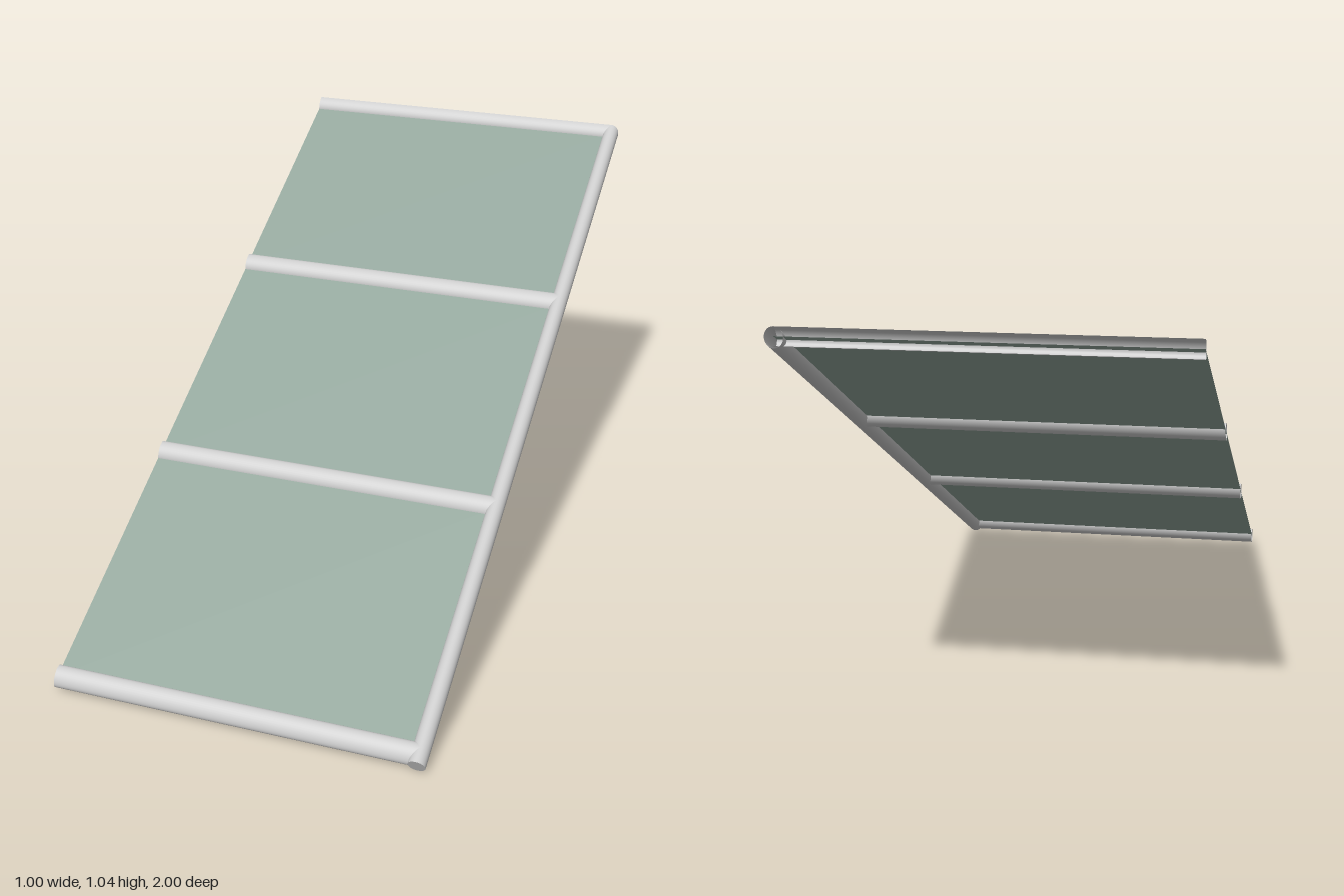
import * as THREE from 'three';

const R = 0.0227;                 // tube radius
const LEFT = -0.5, RAIL_X = 0.477;
const BACK = -1, FRONT = 0.965;   // z extent of the sloping sheet
const SLOPE = 0.5;
const heightAt = z => 0.518 - SLOPE * z;

const metal = new THREE.MeshStandardMaterial({ color: 0xcccccc, side: THREE.DoubleSide });
const glass = new THREE.MeshStandardMaterial({ color: 0x93a69c, side: THREE.DoubleSide });

function add(group, name, geometry, material) {
  const mesh = new THREE.Mesh(geometry, material);
  mesh.name = name;
  group.add(mesh);
  return mesh;
}

// Open tube along x, sheared to follow the slope; half = only its front half
function crossBar(z, half) {
  const g = new THREE.CylinderGeometry(R, R, RAIL_X - LEFT, half ? 16 : 32, 1, true,
    -Math.PI / 2, half ? Math.PI : Math.PI * 2);
  g.rotateZ(Math.PI / 2);
  g.applyMatrix4(new THREE.Matrix4().set(
    1, 0, 0, 0,
    0, 1, -SLOPE, 0,
    0, 0, 1, 0,
    0, 0, 0, 1));
  g.translate((LEFT + RAIL_X) / 2, heightAt(z), z);
  return g;
}

export function createModel() {
  const model = new THREE.Group();
  model.name = 'slopingGlassRoof';

  // Glass sheet, one pane between each pair of bars
  const step = (FRONT - BACK) / 3;
  for (let i = 0; i < 3; i++) {
    const g = new THREE.PlaneGeometry(RAIL_X - LEFT, step);
    g.rotateX(-Math.PI / 2);
    const z = BACK + step * (i + 0.5);
    const p = g.attributes.position;
    for (let k = 0; k < p.count; k++) p.setY(k, -SLOPE * p.getZ(k));
    g.translate((LEFT + RAIL_X) / 2, heightAt(z), z);
    g.computeVertexNormals();
    add(model, 'glassPane' + (i + 1), g, glass);
  }

  // Cross bars; the rearmost is cut in half by the back plane
  for (let i = 0; i < 4; i++) {
    add(model, 'crossBar' + (i + 1), crossBar(BACK + step * i, i === 0), metal);
  }

  // Side rail: square-cut at the foot, cut vertically at the back plane
  const tilt = Math.atan(SLOPE), footZ = 0.99;
  const rail = new THREE.Group();
  rail.name = 'sideRail';
  const tube = new THREE.CylinderGeometry(R, R, 1, 32, 1, true);
  tube.rotateX(-Math.PI / 2);
  const p = tube.attributes.position;
  for (let k = 0; k < p.count; k++) {
    const top = p.getZ(k) < 0;
    p.setZ(k, top ? (BACK - footZ - p.getY(k) * Math.sin(tilt)) / Math.cos(tilt) : 0);
  }
  add(rail, 'railTube', tube, metal);
  add(rail, 'railFootCap', new THREE.CircleGeometry(R, 32), metal);
  rail.rotation.x = tilt;
  rail.position.set(RAIL_X, R * Math.cos(tilt), footZ);
  model.add(rail);

  return model;
}
